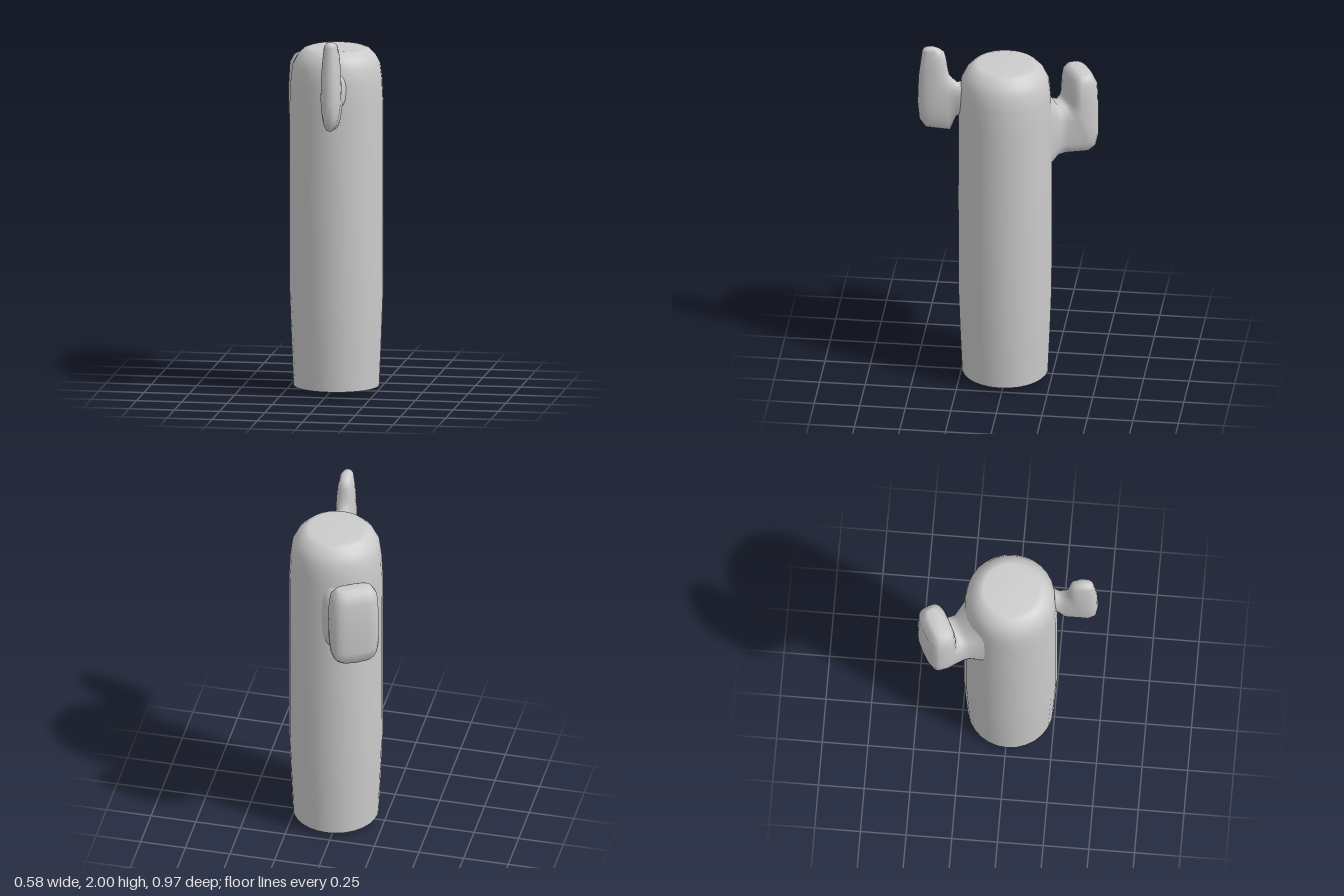
import * as THREE from 'three';

const material = new THREE.MeshStandardMaterial({ color: 0xcccccc });

function mesh(geometry, name) {
  const m = new THREE.Mesh(geometry, material);
  m.name = name;
  return m;
}

// Lofted, bent arm growing along +z. Each section runs from an outer/lower point
// to an inner/upper point: [outZ, outY, inZ, inY, halfWidth, xShift].
// power < 1 squares the section off, power 1 is an ellipse.
function armGeometry(sections, power, sides = 20) {
  const positions = [];
  const index = [];
  const soft = (v) => Math.sign(v) * Math.pow(Math.abs(v), power);
  for (const [oz, oy, iz, iy, w, shift = 0] of sections) {
    for (let j = 0; j < sides; j++) {
      const angle = (j / sides) * Math.PI * 2;
      const a = soft(Math.cos(angle)) / 2;
      positions.push(
        shift + w * soft(Math.sin(angle)),
        (oy + iy) / 2 + (oy - iy) * a,
        (oz + iz) / 2 + (oz - iz) * a
      );
    }
  }
  for (let i = 0; i < sections.length - 1; i++) {
    for (let j = 0; j < sides; j++) {
      const a = i * sides + j;
      const b = i * sides + ((j + 1) % sides);
      index.push(a, b, b + sides, a, b + sides, a + sides);
    }
  }
  // Closed tip
  const [oz, oy, iz, iy, , shift = 0] = sections[sections.length - 1];
  const tip = positions.length / 3;
  positions.push(shift, (oy + iy) / 2 + 0.004, (oz + iz) / 2);
  for (let j = 0; j < sides; j++) {
    index.push(tip - sides + j, tip - sides + ((j + 1) % sides), tip);
  }
  const geometry = new THREE.BufferGeometry();
  geometry.setAttribute('position', new THREE.Float32BufferAttribute(positions, 3));
  geometry.setIndex(index);
  geometry.computeVertexNormals();
  return geometry;
}

const lathe = (points) =>
  new THREE.LatheGeometry(points.map(([r, y]) => new THREE.Vector2(r, y)), 28);

export function createModel() {
  const model = new THREE.Group();
  model.name = 'cactus';

  // Trunk: slightly tapered foot, rounded shoulder, flat top
  const trunk = new THREE.Group();
  trunk.name = 'trunk';
  trunk.position.set(0.025, 0, 0.008);
  trunk.add(
    mesh(lathe([
      [0.235, 0.03], [0.246, 0.28], [0.256, 0.55], [0.257, 1.1], [0.256, 1.6],
      [0.25, 1.73], [0.24, 1.81], [0.215, 1.86], [0.18, 1.895], [0.15, 1.905], [0, 1.906]
    ]), 'trunkBody'),
    mesh(lathe([[0, 0], [0.235, 0.03]]), 'trunkBase')
  );
  model.add(trunk);

  // Front arm: slim, pointed
  const frontArm = mesh(armGeometry([
    [0.22, 1.60, 0.22, 1.80, 0.065],
    [0.27, 1.59, 0.27, 1.79, 0.048],
    [0.305, 1.50, 0.31, 1.83, 0.046],
    [0.44, 1.51, 0.32, 1.88, 0.053],
    [0.475, 1.56, 0.325, 1.92, 0.054],
    [0.485, 1.66, 0.33, 1.945, 0.052],
    [0.48, 1.82, 0.337, 1.97, 0.046],
    [0.46, 1.975, 0.36, 1.985, 0.035],
    [0.45, 1.992, 0.39, 1.998, 0.02]
  ], 0.85), 'frontArm');
  frontArm.position.set(0.058, 0, 0);
  model.add(frontArm);

  // Back arm: broad pad on a flared neck
  const backArm = mesh(armGeometry([
    [0.19, 1.22, 0.19, 1.78, 0.15],
    [0.24, 1.27, 0.24, 1.70, 0.128],
    [0.28, 1.31, 0.29, 1.62, 0.11],
    [0.32, 1.32, 0.33, 1.61, 0.11, -0.005],
    [0.45, 1.32, 0.345, 1.63, 0.132, -0.015],
    [0.495, 1.35, 0.35, 1.65, 0.136, -0.015],
    [0.512, 1.42, 0.35, 1.67, 0.137, -0.015],
    [0.513, 1.6, 0.352, 1.72, 0.135, -0.015],
    [0.508, 1.74, 0.36, 1.77, 0.128, -0.015],
    [0.485, 1.79, 0.38, 1.798, 0.105, -0.015],
    [0.465, 1.803, 0.4, 1.805, 0.085, -0.015]
  ], 0.62), 'backArm');
  backArm.position.set(0.025, 0, 0.008);
  backArm.rotation.y = Math.atan2(-0.47, -0.88);
  model.add(backArm);

  return model;
}
